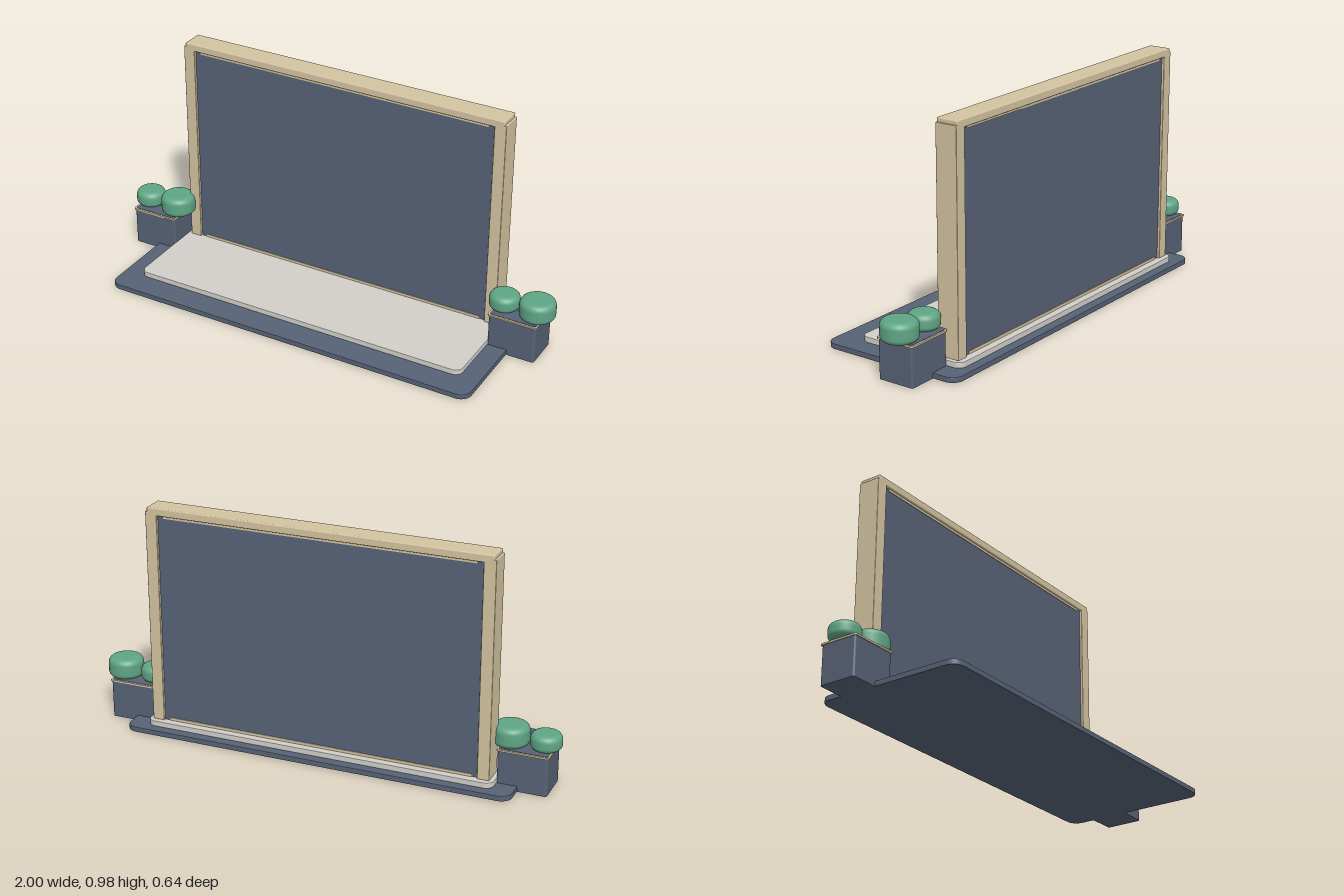
import * as THREE from 'three';
import { RoundedBoxGeometry } from 'three/addons/geometries/RoundedBoxGeometry.js';

const material = (name, color) => {
  const m = new THREE.MeshStandardMaterial({ color });
  m.name = name;
  return m;
};

// Rounded-corner slab lying flat, from y0 to y1
function slabGeometry(w, d, y0, y1, r, bevel) {
  const x = w / 2 - bevel, z = d / 2 - bevel;
  const s = new THREE.Shape();
  s.moveTo(-x + r, -z);
  s.lineTo(x - r, -z);
  s.absarc(x - r, -z + r, r, -Math.PI / 2, 0);
  s.absarc(x - r, z - r, r, 0, Math.PI / 2);
  s.absarc(-x + r, z - r, r, Math.PI / 2, Math.PI);
  s.absarc(-x + r, -z + r, r, Math.PI, Math.PI * 1.5);
  const g = new THREE.ExtrudeGeometry(s, {
    depth: y1 - y0 - 2 * bevel, bevelEnabled: bevel > 0, bevelSize: bevel,
    bevelThickness: bevel, bevelSegments: 2, curveSegments: 6,
  });
  return g.rotateX(-Math.PI / 2).translate(0, y0 + bevel, 0);
}

// Squat cylinder with softly rounded rims
function shrubGeometry(r, y0, y1) {
  const pts = [new THREE.Vector2(0, y0)];
  const arc = (e, cy, from) => {
    for (let i = 0; i <= 6; i++) {
      const a = from + (i / 6) * Math.PI / 2;
      pts.push(new THREE.Vector2(r - e + e * Math.cos(a), cy + e * Math.sin(a)));
    }
  };
  arc(0.022, y0 + 0.022, -Math.PI / 2);
  arc(0.026, y1 - 0.026, 0);
  pts.push(new THREE.Vector2(0, y1));
  return new THREE.LatheGeometry(pts, 32);
}

export function createModel() {
  const slate = material('slate', 0x576276);
  const wood = material('pale wood', 0xd3c3a0);
  const stone = material('pale stone', 0xd2cfca);
  const leaf = material('leaf green', 0x5fa585);

  const model = new THREE.Group();
  model.name = 'screenWallWithPlanters';
  const add = (parent, name, geometry, mat, x = 0, y = 0, z = 0) => {
    const mesh = new THREE.Mesh(geometry, mat);
    mesh.name = name;
    mesh.position.set(x, y, z);
    parent.add(mesh);
    return mesh;
  };

  const cx = -0.0075;

  // Stepped platform
  add(model, 'basePlate', slabGeometry(1.685, 0.64, 0, 0.023, 0.045, 0.003), slate, cx);
  add(model, 'platform', slabGeometry(1.518, 0.492, 0.023, 0.047, 0.032, 0.003), stone, cx, 0, -0.035);

  // Framed wall panel
  const wall = new THREE.Group();
  wall.name = 'framedWall';
  wall.position.set(cx, 0, -0.209);
  model.add(wall);
  add(wall, 'panel', new THREE.BoxGeometry(1.4, 0.902, 0.074), slate, 0, 0.497, 0);
  for (const [side, name] of [[1, 'leftPost'], [-1, 'rightPost']]) {
    add(wall, name, new RoundedBoxGeometry(0.051, 0.916, 0.097, 2, 0.003), wood, side * 0.7155, 0.504, 0);
  }
  add(wall, 'topBeam', new RoundedBoxGeometry(1.468, 0.033, 0.097, 2, 0.005), wood, 0, 0.9625, 0);
  for (const [y, name] of [[0.942, 'upperTrim'], [0.053, 'lowerTrim']]) {
    add(wall, name, new THREE.BoxGeometry(1.33, 0.012, 0.08), wood, 0, y, 0);
  }

  // Planter boxes, each with a small and a large shrub
  for (const [side, name] of [[1, 'leftPlanter'], [-1, 'rightPlanter']]) {
    const planter = new THREE.Group();
    planter.name = name;
    planter.position.set(cx + side * 0.8585, 0, -0.132);
    model.add(planter);
    add(planter, 'pot', slabGeometry(0.206, 0.162, 0, 0.163, 0.01, 0), slate);
    add(planter, 'rim', slabGeometry(0.214, 0.172, 0.162, 0.169, 0.01, 0), wood);
    add(planter, 'soil', slabGeometry(0.2, 0.156, 0.168, 0.1705, 0.008, 0), slate);
    add(planter, 'smallShrub', shrubGeometry(0.064, 0.169, 0.238), leaf, -0.07);
    add(planter, 'largeShrub', shrubGeometry(0.075, 0.166, 0.252), leaf, 0.074);
  }

  return model;
}
